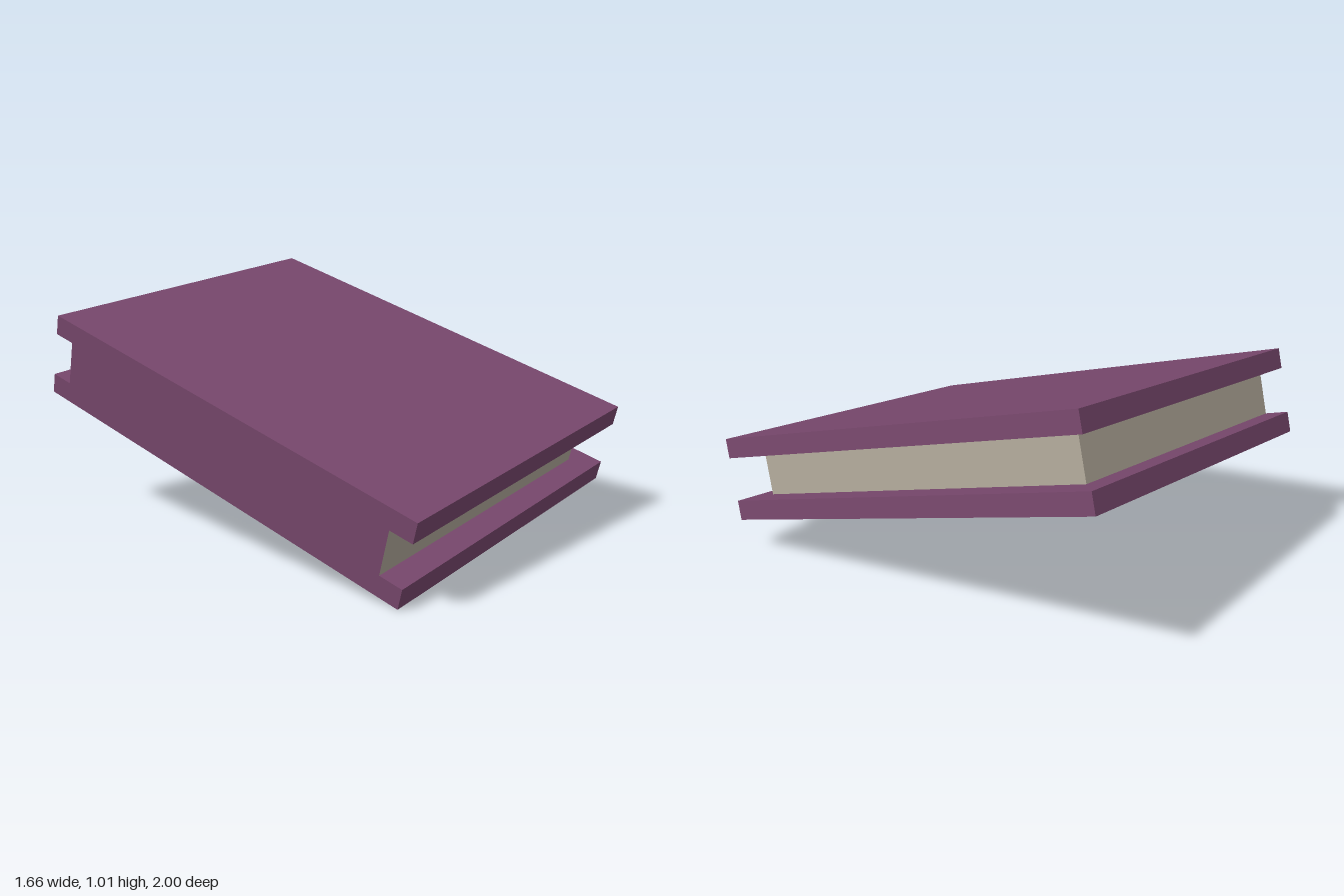
import * as THREE from 'three';

export function createModel() {
  const model = new THREE.Group();
  model.name = 'book';

  const cover = new THREE.MeshStandardMaterial({ color: 0x77476c });
  cover.name = 'plum cover';
  const paper = new THREE.MeshStandardMaterial({ color: 0xb0a899 });
  paper.name = 'aged paper';

  const width = 1.461, height = 0.355, length = 1.871;
  const board = 0.084;      // thickness of each cover
  const overhang = 0.1;     // cover beyond the pages, front and back
  const foreEdge = 0.113;   // cover beyond the pages, right side

  function addBox(name, size, position, material) {
    const mesh = new THREE.Mesh(new THREE.BoxGeometry(...size), material);
    mesh.name = name;
    mesh.position.set(...position);
    model.add(mesh);
  }

  // Two equal boards
  const boardY = (height - board) / 2;
  addBox('topCover', [width, board, length], [0, boardY, 0], cover);
  addBox('bottomCover', [width, board, length], [0, -boardY, 0], cover);

  // Page block, flush with the covers at the left, where its face is the spine
  addBox('pagesAndSpine',
    [width - foreEdge, height - 2 * board, length - 2 * overhang],
    [-foreEdge / 2, 0, 0],
    [paper, cover, paper, paper, paper, paper]);

  // Tilt the whole book: its width and length axes define the pose
  const across = new THREE.Vector3(0.9925, 0.0958, -0.0753).normalize();
  const along = new THREE.Vector3(0.0989, -0.2833, 0.954);
  const up = along.clone().cross(across).normalize();
  along.crossVectors(across, up);
  model.quaternion.setFromRotationMatrix(new THREE.Matrix4().makeBasis(across, up, along));
  model.position.y = 0.504;

  return model;
}
